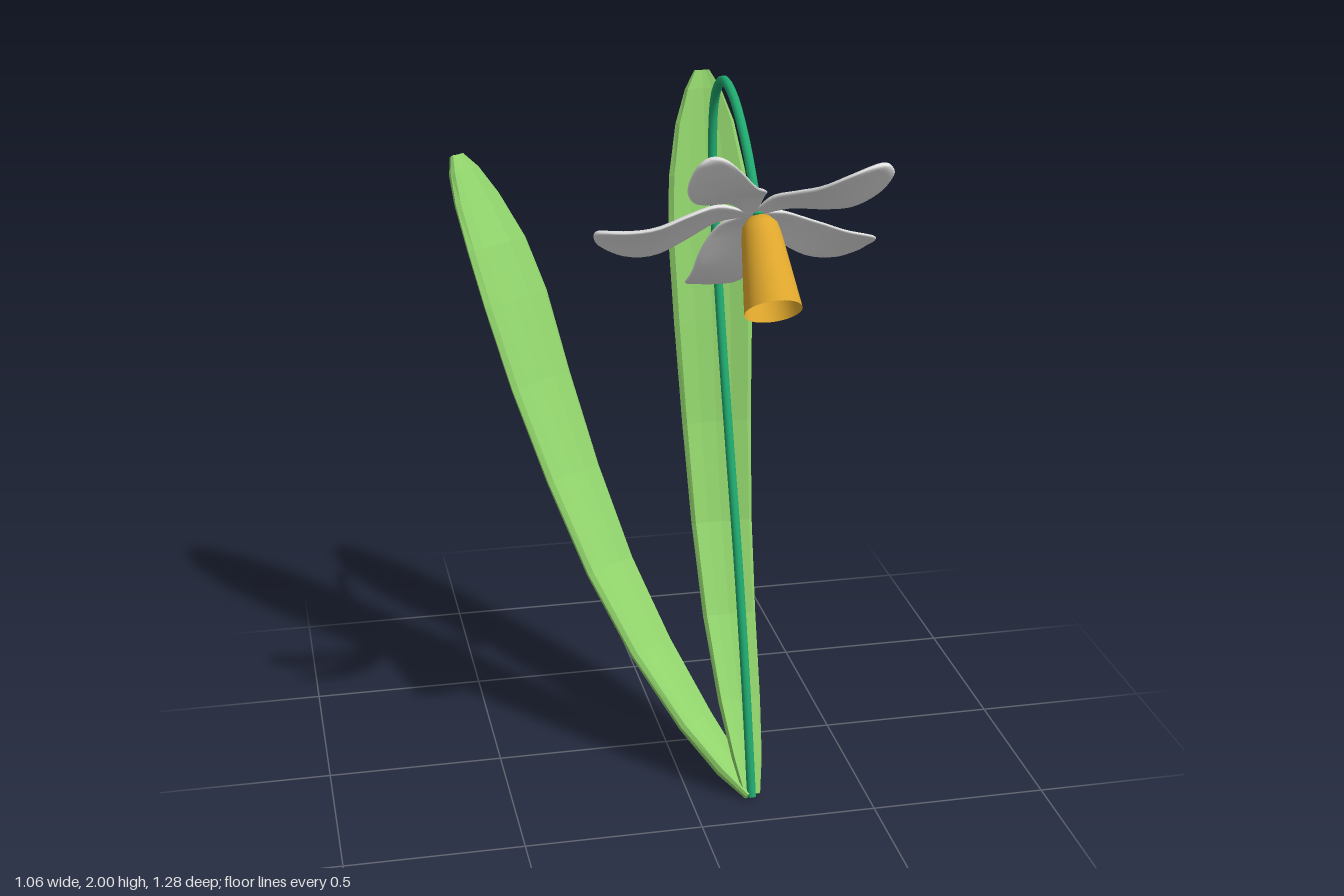
import * as THREE from 'three';

const mat = (name, color, opts = {}) =>
  Object.assign(new THREE.MeshStandardMaterial({ color, ...opts }), { name });

// Closed skin over equal-sized rings, with both ends capped
function loft(rings) {
  const n = rings[0].length, pos = [], idx = [];
  rings.forEach(r => r.forEach(p => pos.push(p.x, p.y, p.z)));
  for (let i = 0; i < rings.length - 1; i++) {
    for (let j = 0; j < n; j++) {
      const a = i * n + j, b = i * n + (j + 1) % n;
      idx.push(a, b, a + n, b, b + n, a + n);
    }
  }
  const last = (rings.length - 1) * n;
  for (let j = 1; j < n - 1; j++) {
    idx.push(0, j + 1, j, last, last + j, last + j + 1);
  }
  const g = new THREE.BufferGeometry();
  g.setAttribute('position', new THREE.Float32BufferAttribute(pos, 3));
  g.setIndex(idx);
  g.computeVertexNormals();
  return g;
}

// Smooth one-dimensional profile through [position, value] pairs
function profile(pairs) {
  const c = new THREE.CatmullRomCurve3(pairs.map(([a, b]) => new THREE.Vector3(a, b, 0)));
  return k => c.getPoint(k);
}

// Strap leaf, slightly channelled: path of [outward, height] in the compass direction (dx, dz)
function leafGeometry(base, dx, dz, path) {
  const d = new THREE.Vector3(dx, 0, dz).normalize();
  const side = new THREE.Vector3(0, 1, 0).cross(d);
  const curve = new THREE.CatmullRomCurve3(path.map(([h, y]) =>
    new THREE.Vector3(base.x + d.x * h, y, base.z + d.z * h)));
  const widths = [[0, 0.025], [0.05, 0.044], [0.13, 0.062], [0.25, 0.078], [0.38, 0.09], [0.52, 0.102],
    [0.66, 0.115], [0.78, 0.122], [0.86, 0.112], [0.93, 0.085], [0.975, 0.052], [1, 0.022]];
  const section = [[1, 0], [0.88, 1], [0.45, 1], [0, 1], [-0.45, 1], [-0.88, 1],
    [-1, 0], [-0.88, -1], [-0.45, -1], [0, -1], [0.45, -1], [0.88, -1]];
  return loft(widths.map(([t, w]) => {
    const p = curve.getPointAt(t), f = curve.getTangentAt(t);
    const up = f.clone().cross(side);
    const thick = Math.min(0.016, w * 0.4);
    return section.map(([a, b]) => p.clone()
      .addScaledVector(side, a * w)
      .addScaledVector(up, b * thick + 0.2 * w * (a * a - 0.4)));
  }));
}

// Petal along +z, waving in height, domed across its width
function petalGeometry() {
  const outline = profile([[0, 0.008], [0.05, 0.032], [0.11, 0.056], [0.19, 0.078], [0.27, 0.084],
    [0.34, 0.075], [0.385, 0.054], [0.41, 0.03], [0.416, 0.006]]);
  const wave = profile([[0, 0], [0.08, 0.012], [0.15, -0.012], [0.23, -0.036], [0.32, -0.034], [0.42, -0.012]]);
  const rings = [];
  for (let i = 0; i <= 24; i++) {
    const { x: z, y: w } = outline(i / 24);
    const y = wave(z / 0.42).y, thick = Math.min(0.012, w * 0.3);
    const bend = 0.012 * Math.sin(z / 0.42 * Math.PI * 2);
    const ring = [];
    for (let j = 0; j < 16; j++) {
      const a = j / 16 * Math.PI * 2, c = Math.cos(a);
      ring.push(new THREE.Vector3(bend + w * c,
        y + thick * Math.sin(a) + 0.2 * w * (0.5 - c * c), z));
    }
    rings.push(ring);
  }
  return loft(rings);
}

export function createModel() {
  const model = new THREE.Group();
  model.name = 'floweringPlant';
  const leafGreen = mat('leafGreen', 0x90d26b, { flatShading: true });
  const stemGreen = mat('stemGreen', 0x1fa86e);
  const white = mat('petalWhite', 0xe4e4e4);
  const gold = mat('trumpetGold', 0xdea62c, { side: THREE.DoubleSide });
  const add = (parent, name, geometry, material) => {
    const m = new THREE.Mesh(geometry, material);
    m.name = name;
    parent.add(m);
    return m;
  };

  // Leaves
  const base = new THREE.Vector3(0.173, 0, 0.37);
  add(model, 'uprightLeaf', leafGeometry(base, 0, -1, [[0, 0.01], [0.07, 0.1], [0.23, 0.31], [0.365, 0.55],
    [0.445, 0.78], [0.505, 1.02], [0.56, 1.31], [0.635, 1.66], [0.71, 1.955]]), leafGreen);
  add(model, 'leaningLeaf', leafGeometry(base, -0.562, -0.827, [[0, 0.01], [0.12, 0.08], [0.27, 0.2],
    [0.51, 0.45], [0.7, 0.74], [0.84, 1.0], [1.025, 1.4], [1.2, 1.67]]), leafGreen);

  // Arching stem
  const stemPath = new THREE.CatmullRomCurve3([[0.375, 0.005], [0.3, 0.28], [0.19, 0.62], [0.06, 0.96],
    [-0.06, 1.28], [-0.145, 1.56], [-0.187, 1.79], [-0.16, 1.92], [-0.065, 1.987], [0.06, 1.968],
    [0.19, 1.888], [0.28, 1.803], [0.35, 1.72]].map(([z, y]) => new THREE.Vector3(0.172, y, z)));
  add(model, 'stem', new THREE.TubeGeometry(stemPath, 64, 0.013, 12), stemGreen);
  for (const [t, name, dir] of [[0, 'stemFoot', -1], [1, 'stemTop', 1]]) {
    const cap = add(model, name, new THREE.CircleGeometry(0.013, 12), stemGreen);
    cap.position.copy(stemPath.getPointAt(t));
    cap.lookAt(cap.position.clone().addScaledVector(stemPath.getTangentAt(t), dir));
  }

  // Nodding flower: five petals around an open trumpet
  const flower = new THREE.Group();
  flower.name = 'flower';
  flower.position.set(0.173, 1.72, 0.35);
  flower.rotation.x = -0.698;
  model.add(flower);
  const petals = new THREE.Group();
  petals.name = 'petals';
  petals.position.set(-0.016, 0.006, -0.008);
  flower.add(petals);
  const petal = petalGeometry();
  for (let i = 0; i < 5; i++) {
    add(petals, 'petal', petal, white).rotation.y = THREE.MathUtils.degToRad(47 - i * 72);
  }
  const cup = [[0.076, -0.27], [0.063, -0.15], [0.053, -0.06], [0.047, -0.03], [0.031, -0.01], [0, 0]];
  add(flower, 'trumpet', new THREE.LatheGeometry(cup.map(([r, y]) => new THREE.Vector2(r, y)), 32), gold);
  return model;
}
